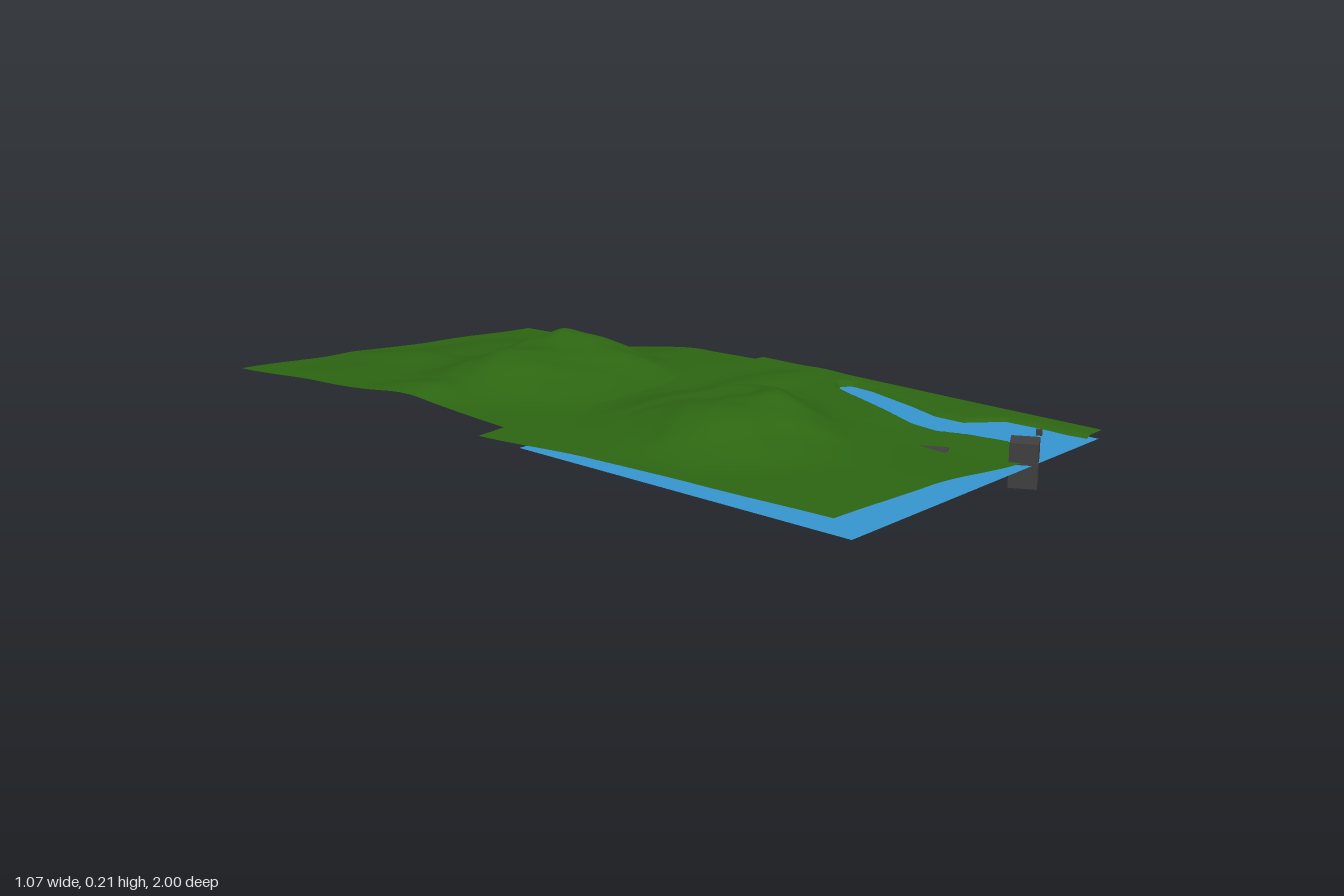
import * as THREE from 'three';

const smooth = THREE.MathUtils.smoothstep;
const lerp = THREE.MathUtils.lerp;

// Smooth blend over a 4 x 4 grid of base heights, u across and v from back to front
function baseHeight(rows, u, v) {
  const i = Math.min(2, Math.floor(u * 3)), j = Math.min(2, Math.floor(v * 3));
  const a = smooth(u * 3 - i, 0, 1) * 0.5 + (u * 3 - i) * 0.5;
  const b = smooth(v * 3 - j, 0, 1) * 0.5 + (v * 3 - j) * 0.5;
  return lerp(lerp(rows[j][i], rows[j][i + 1], a), lerp(rows[j + 1][i], rows[j + 1][i + 1], a), b);
}

// Sum of rounded hills, each [x, z, radiusX, radiusZ, height], with weathered wrinkles
function hillHeight(hills, x, z) {
  let h = 0;
  for (const [cx, cz, rx, rz, top] of hills) {
    const d = ((x - cx) / rx) ** 2 + ((z - cz) / rz) ** 2;
    h += top * Math.exp(-Math.pow(d, 1.25));
  }
  const wrinkle = Math.sin(x * 31 + 3 * Math.sin(z * 17)) * 0.6 + Math.sin(z * 37 + 2 * Math.sin(x * 23)) * 0.4;
  return h * (1 + 0.06 * wrinkle);
}

// River as [z, centre x, half width]
const river = [
  [0.25, 0.43, -0.01], [0.28, 0.425, 0.03], [0.35, 0.405, 0.042], [0.5, 0.355, 0.045], [0.6, 0.315, 0.045],
  [0.68, 0.31, 0.05], [0.75, 0.36, 0.075], [0.85, 0.37, 0.07], [0.92, 0.345, 0.09], [0.97, 0.32, 0.12],
];
function carveRiver(x, z, h) {
  if (z < river[0][0]) return h;
  let k = 0;
  while (k < river.length - 2 && z > river[k + 1][0]) k++;
  const [z0, x0, w0] = river[k], [z1, x1, w1] = river[k + 1];
  const t = Math.min(1, (z - z0) / (z1 - z0));
  const d = Math.abs(x - lerp(x0, x1, t)), w = lerp(w0, w1, t);
  return lerp(0.084, h, smooth(d, w - 0.015, w + 0.02));
}

// Terrain sheet: corner(u, v) gives x and z, height(x, z, u, v) gives y
function terrain(name, corner, height, material) {
  const geo = new THREE.PlaneGeometry(1, 1, 110, 110).rotateX(-Math.PI / 2);
  const p = geo.attributes.position;
  for (let i = 0; i < p.count; i++) {
    const u = p.getX(i) + 0.5, v = p.getZ(i) + 0.5;
    const [x, z] = corner(u, v);
    p.setXYZ(i, x, height(x, z, u, v), z);
  }
  geo.computeVertexNormals();
  const mesh = new THREE.Mesh(geo, material);
  mesh.name = name;
  return mesh;
}

export function createModel() {
  const group = new THREE.Group();
  const grass = new THREE.MeshStandardMaterial({ color: 0x2d6612, side: THREE.DoubleSide });
  const blue = new THREE.MeshStandardMaterial({ color: 0x3596d0, side: THREE.DoubleSide });
  const stone = new THREE.MeshStandardMaterial({ color: 0x404040 });

  // Front land with the river valley
  const frontBase = [
    [0.107, 0.122, 0.118, 0.1],
    [0.125, 0.13, 0.118, 0.1],
    [0.133, 0.125, 0.096, 0.098],
    [0.14, 0.128, 0.095, 0.097],
  ];
  const frontHills = [
    [-0.13, 0.4, 0.24, 0.23, 0.055], [-0.08, 0.47, 0.09, 0.1, 0.032], [-0.28, 0.42, 0.12, 0.14, 0.03],
    [0.03, 0.32, 0.1, 0.13, 0.03], [-0.15, 0.18, 0.2, 0.12, 0.016], [0.25, 0.15, 0.22, 0.07, 0.014],
  ];
  group.add(terrain('frontLand',
    (u, v) => [lerp(-0.535, 0.51, u), lerp(-0.06, 0.97, v)],
    (x, z, u, v) => carveRiver(x, z, Math.max(0.0945, baseHeight(frontBase, u, v) + hillHeight(frontHills, x, z))),
    grass));

  // Back land, sloping down towards its rear corner
  const backBase = [
    [0.1, 0.077, 0.053, 0.03],
    [0.125, 0.11, 0.075, 0.037],
    [0.15, 0.138, 0.115, 0.085],
    [0.137, 0.12, 0.105, 0.096],
  ];
  const backHills = [
    [-0.02, -0.32, 0.23, 0.23, 0.052], [0.05, -0.4, 0.1, 0.11, 0.032], [-0.24, -0.3, 0.14, 0.16, 0.034],
    [0.12, -0.25, 0.1, 0.18, 0.025], [-0.45, -0.35, 0.06, 0.12, 0.018], [-0.14, -0.75, 0.07, 0.2, 0.012],
    [0.1, -0.75, 0.25, 0.12, 0.014],
  ];
  group.add(terrain('backLand',
    (u, v) => {
      const bulge = 0.012 * Math.exp(-(((v - 0.15) / 0.12) ** 2));
      return [lerp(lerp(-0.505, -0.52, v), lerp(0.525, 0.503, v) + bulge, u), lerp(lerp(-1, -0.98, u), lerp(0.042, 0.06, u), v)];
    },
    (x, z, u, v) => baseHeight(backBase, u, v) + hillHeight(backHills, x, z) * smooth(1 - u, 0, 0.12),
    grass));

  // Water sheet under the front land
  const water = new THREE.Mesh(new THREE.PlaneGeometry(0.96, 0.95).rotateX(-Math.PI / 2), blue);
  water.position.set(-0.02, 0.09, 0.515);
  water.name = 'water';
  group.add(water);

  // Stone blocks: name, size, centre, turn
  const blocks = [
    ['foundationBlock', [0.104, 0.1, 0.104], [0.07, 0.05, 0.765], 0.45],
    ['riverTower', [0.065, 0.105, 0.065], [0.19, 0.0875, 0.957], 0.5],
    ['towerCap', [0.014, 0.012, 0.014], [0.202, 0.161, 0.985], 0.5],
  ];
  for (const [name, size, centre, turn] of blocks) {
    const block = new THREE.Mesh(new THREE.BoxGeometry(...size), stone);
    block.position.set(...centre);
    block.rotation.y = turn;
    block.name = name;
    group.add(block);
  }
  return group;
}
